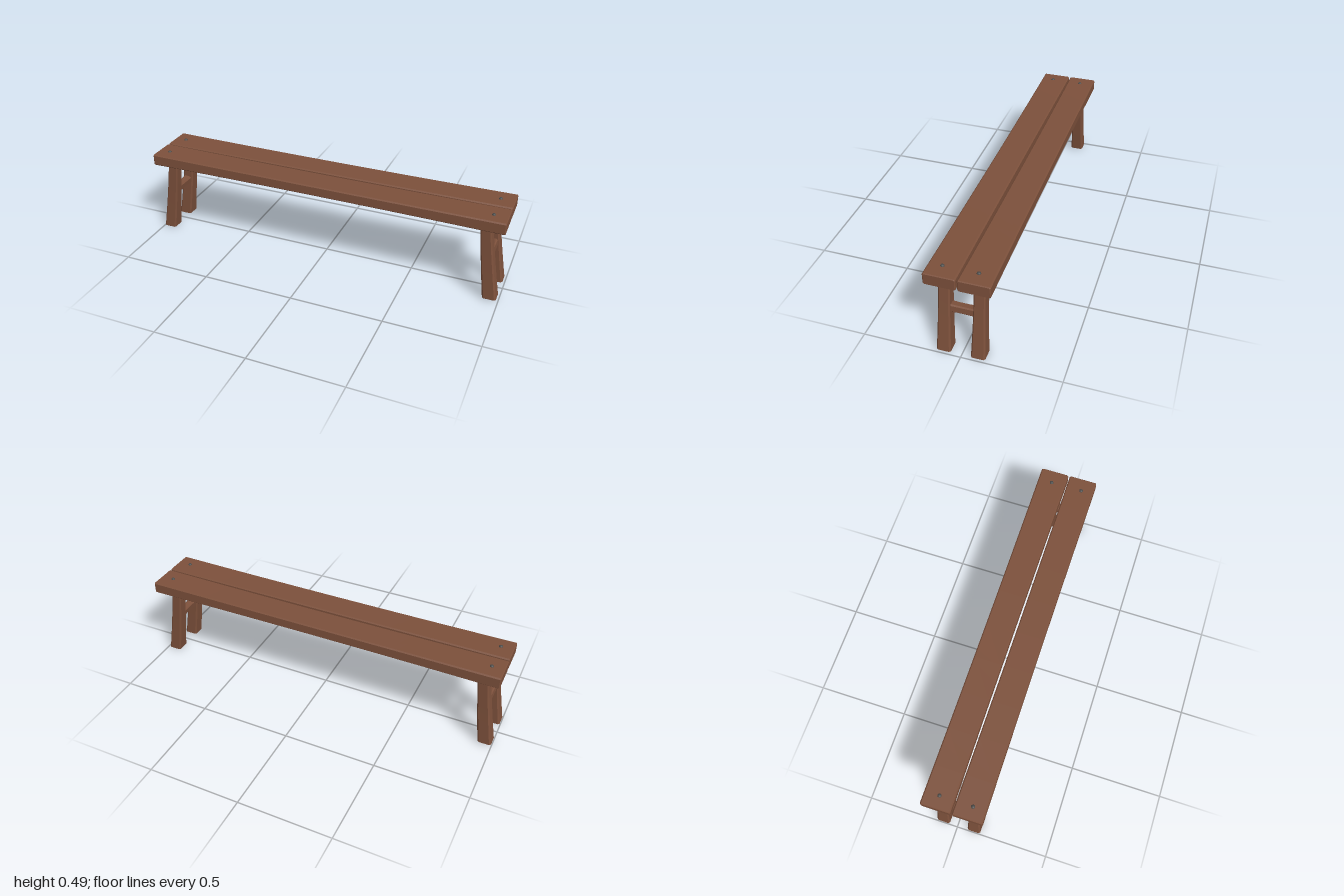
import * as THREE from 'three';
import { toCreasedNormals } from 'three/addons/utils/BufferGeometryUtils.js';

// Chamfered bar along z, centred on the origin, with its vertices moved by a rule.
function beam(width, height, length, bevel, steps, rule) {
  const w = width / 2 - bevel, h = height / 2 - bevel, c = bevel;
  const shape = new THREE.Shape([
    [-w + c, -h], [w - c, -h], [w, -h + c], [w, h - c],
    [w - c, h], [-w + c, h], [-w, h - c], [-w, -h + c],
  ].map(([x, y]) => new THREE.Vector2(x, y)));
  const geometry = new THREE.ExtrudeGeometry(shape, {
    depth: length - 2 * bevel, steps, bevelEnabled: true,
    bevelSize: bevel, bevelThickness: bevel, bevelSegments: 1,
  });
  geometry.translate(0, 0, -length / 2 + bevel);
  const pos = geometry.attributes.position, v = new THREE.Vector3();
  for (let i = 0; i < pos.count; i++) {
    rule(v.fromBufferAttribute(pos, i));
    pos.setXYZ(i, v.x, v.y, v.z);
  }
  return toCreasedNormals(geometry, 0.5);
}

export function createModel() {
  const wood = new THREE.MeshStandardMaterial({ color: 0x7c503b });
  wood.name = 'brown wood';
  const iron = new THREE.MeshStandardMaterial({ color: 0x4c4c4a });
  iron.name = 'dark iron';

  const bench = new THREE.Group();
  bench.name = 'bench';
  const add = (name, geometry, material, x = 0, y = 0, z = 0) => {
    const mesh = new THREE.Mesh(geometry, material);
    mesh.name = name;
    mesh.position.set(x, y, z);
    bench.add(mesh);
    return mesh;
  };

  const legShift = -0.004, frameZ = 0.005;
  // Centre of a leg across x at height y: splays outward toward the floor.
  const splay = (y) => 0.897 + 0.06 * Math.pow(Math.max(0, 1 - y / 0.425), 1.15);

  for (const sz of [1, -1]) {
    const row = sz > 0 ? 'front' : 'back';

    // Seat plank, slightly worn toward the middle
    const plank = beam(0.157, 0.065, 1.99, 0.004, 10, (v) => {
      const worn = 1 - Math.min(1, v.z * v.z);
      v.x *= 1 - 0.04 * worn;
      v.y *= 1 - 0.12 * worn;
    });
    plank.rotateY(Math.PI / 2);
    add(row + 'Plank', plank, wood, 0, 0.4525, sz * 0.0825);

    for (const sx of [1, -1]) {
      const side = sx > 0 ? 'Left' : 'Right';

      // Leg flaring toward its foot
      const leg = beam(0.056, 0.057, 0.425, 0.004, 8, (v) => {
        const down = Math.min(1, Math.max(0, 0.5 - v.z / 0.425));
        v.x = v.x * (1 + 0.3 * down) + sx * splay(v.z + 0.2125);
        v.y *= 1 + 0.28 * down * down;
      });
      leg.rotateX(-Math.PI / 2);
      add(row + side + 'Leg', leg, wood, legShift, 0.2125, frameZ + sz * 0.0865);

      // Domed nail head
      const nail = new THREE.SphereGeometry(0.0105, 12, 4, 0, Math.PI * 2, 0, Math.PI / 2);
      nail.scale(1, 0.75, 1);
      add(row + side + 'Nail', nail, iron, sx * 0.924 + legShift, 0.484, frameZ + sz * 0.0865);
    }
  }

  // Crossbars joining each pair of legs, thinner in the middle
  for (const sx of [1, -1]) {
    const bar = beam(0.044, 0.044, 0.13, 0.004, 6, (v) => {
      const thin = 1 - 0.08 * (1 - Math.pow(v.z / 0.065, 2));
      v.x *= thin;
      v.y *= thin;
    });
    const mesh = add(sx > 0 ? 'leftCrossbar' : 'rightCrossbar', bar, wood,
      sx * splay(0.24) + legShift, 0.24, frameZ);
    mesh.rotation.z = sx * 0.13;
  }
  return bench;
}
